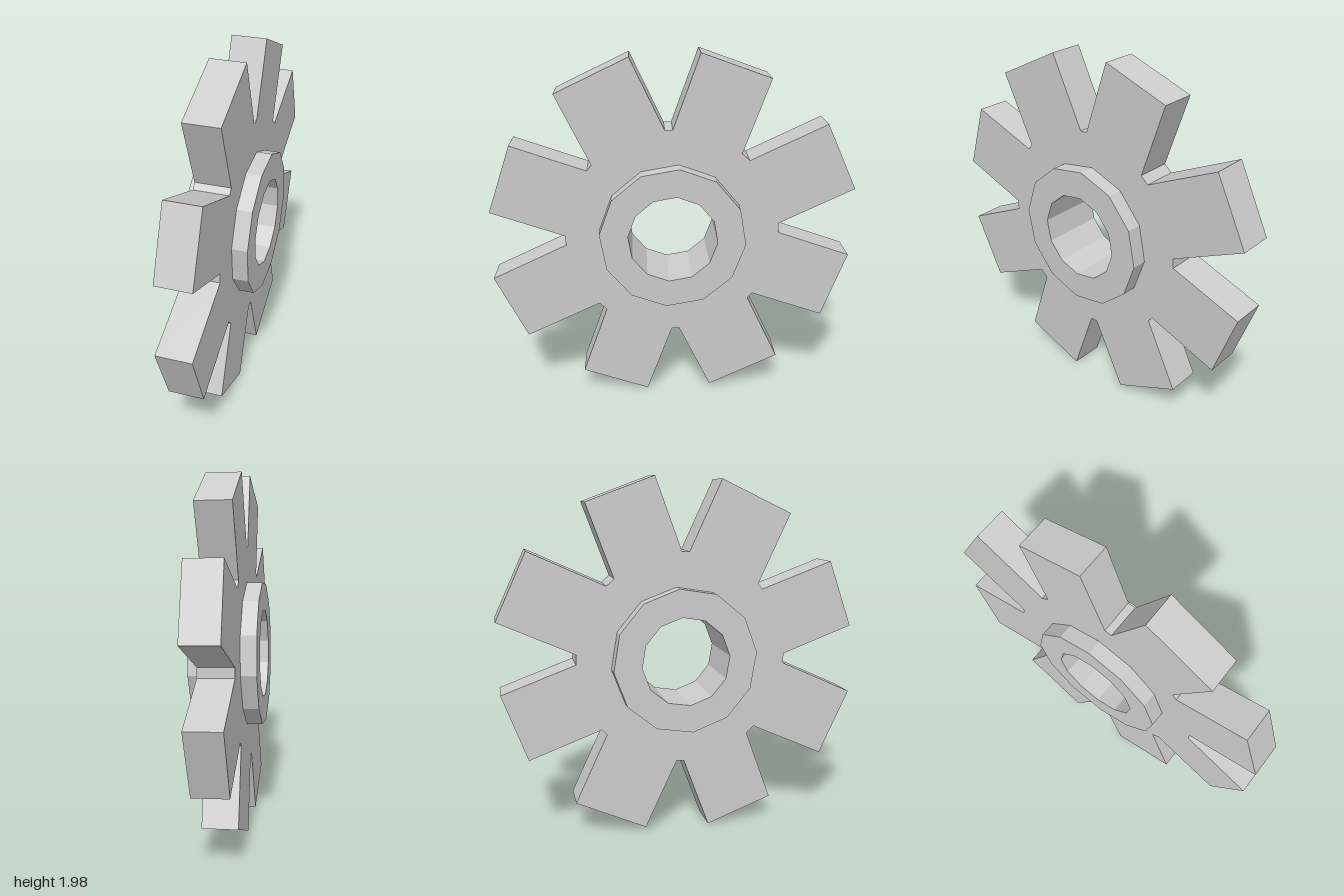
import * as THREE from 'three';

const SIDES = 12;
const rad = THREE.MathUtils.degToRad;

// Opposite teeth share a bar: bearing from the top, half width, length from the centre
const BARS = [
  { bearing: 19.7, half: 0.197, tip: 0.978 },
  { bearing: 64.7, half: 0.2, tip: 1.007 },
  { bearing: 109.5, half: 0.197, tip: 0.98 },
  { bearing: 154.5, half: 0.216, tip: 0.97 },
];

// Point at a radius, with the angle measured clockwise from the top
const polar = (r, a) => new THREE.Vector2(r * Math.sin(a), r * Math.cos(a));

// Regular polygon outline shared by hub and bore
const ring = (r) => Array.from({ length: SIDES }, (_, i) => polar(r, rad(5 + i * 360 / SIDES)));

// Flat plate or collar with a central hole, centred on its thickness
function plate(name, outline, holeRadius, depth, material) {
  const shape = new THREE.Shape(outline);
  // the hole runs against the outline so its wall faces inwards
  shape.holes.push(new THREE.Path(ring(holeRadius).reverse()));
  const geometry = new THREE.ExtrudeGeometry(shape, { depth, bevelEnabled: false });
  geometry.translate(0, 0, -depth / 2);
  const mesh = new THREE.Mesh(geometry, material);
  mesh.name = name;
  return mesh;
}

// Straight-sided teeth separated by short flat valleys
function toothOutline(root) {
  const points = [];
  for (const turn of [0, 180]) {
    for (const { bearing, half, tip } of BARS) {
      const a = rad(bearing + turn);
      const rootAngle = Math.asin(half / root);
      const tipAngle = Math.atan2(half, tip);
      const tipRadius = Math.hypot(half, tip);
      points.push(polar(root, a - rootAngle), polar(tipRadius, a - tipAngle),
        polar(tipRadius, a + tipAngle), polar(root, a + rootAngle));
    }
  }
  return points;
}

export function createModel() {
  const material = new THREE.MeshStandardMaterial({ color: 0xcccccc, flatShading: true });
  const gear = new THREE.Group();
  gear.name = 'gear';
  gear.add(plate('toothedWheel', toothOutline(0.588), 0.398, 0.19, material));
  gear.add(plate('hub', ring(0.4), 0.245, 0.36, material));

  // Axle points sideways, slightly turned and tipped
  const axle = new THREE.Vector3(0.99, -0.027, 0.139).normalize();
  const up = new THREE.Vector3(0, 1, 0).addScaledVector(axle, -axle.y).normalize();
  const across = new THREE.Vector3().crossVectors(up, axle);
  gear.quaternion.setFromRotationMatrix(new THREE.Matrix4().makeBasis(across, up, axle));

  // Stand on the ground, centred
  const model = new THREE.Group();
  model.add(gear);
  const box = new THREE.Box3().setFromObject(model, true);
  const centre = box.getCenter(new THREE.Vector3());
  gear.position.set(-centre.x, -box.min.y, -centre.z);
  return model;
}
